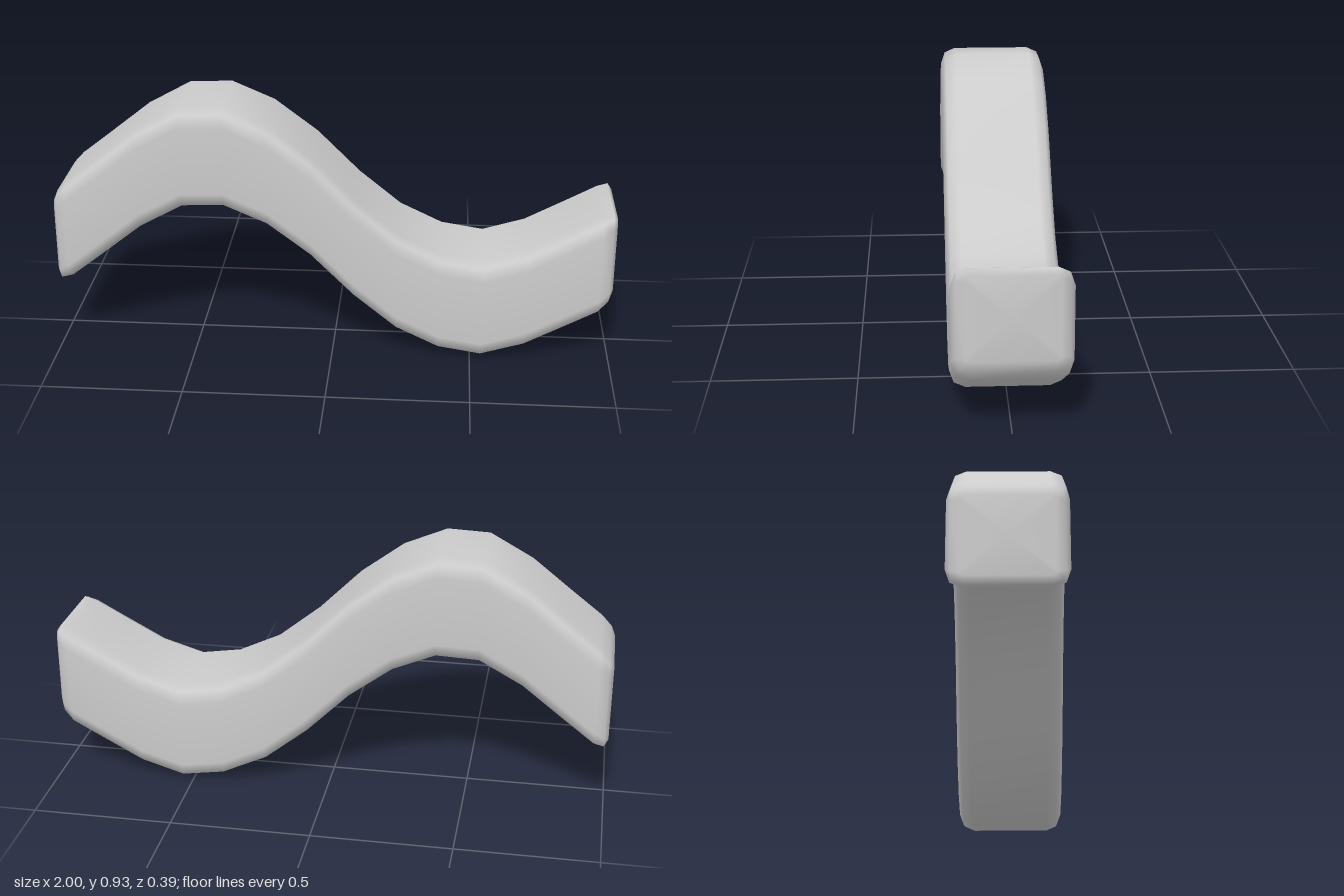
import * as THREE from 'three';

// Spine of the wave: [x, centre height, edge inset]
const SPINE = [
  [-1, 0.42, 0.045], [-0.985, 0.425, 0.014], [-0.95, 0.449, 0],
  [-0.846, 0.53, 0], [-0.692, 0.652, 0], [-0.538, 0.737, 0], [-0.385, 0.743, 0],
  [-0.231, 0.677, 0], [-0.077, 0.561, 0], [0.077, 0.407, 0], [0.231, 0.282, 0],
  [0.385, 0.209, 0], [0.538, 0.185, 0], [0.692, 0.232, 0], [0.846, 0.315, 0],
  [0.95, 0.372, 0], [0.985, 0.398, 0.014], [1, 0.408, 0.045],
];
const HALF_HEIGHT = 0.185;
const HALF_DEPTH = 0.193;

// Rectangle section with two-step bevelled corners, as [z, y] pairs
function section(inset) {
  const d = HALF_DEPTH - inset, h = HALF_HEIGHT - inset;
  const s = 1 - inset / 0.06; // bevels shrink towards the end faces
  const corner = [[d, h - 0.062 * s], [d - 0.015 * s, h - 0.017 * s], [d - 0.053 * s, h]];
  const back = corner.map(([z, y]) => [-z, y]);
  const upper = [...back, ...corner.slice().reverse()];
  return [...upper, ...upper.map(([z, y]) => [-z, -y])];
}

function waveGeometry() {
  const positions = [], index = [];
  const n = 12, last = SPINE.length - 1;
  for (const [x, y0, inset] of SPINE) {
    for (const [z, y] of section(inset)) positions.push(x, y0 + y, z);
  }
  // Skin between neighbouring sections
  for (let i = 0; i < last; i++) {
    for (let j = 0; j < n; j++) {
      const k = (j + 1) % n;
      const a = i * n + j, b = a + n, c = (i + 1) * n + k, d = i * n + k;
      index.push(a, d, c, a, c, b);
    }
  }
  // End faces
  for (const i of [0, last]) {
    const centre = positions.length / 3;
    positions.push(SPINE[i][0], SPINE[i][1], 0);
    for (let j = 0; j < n; j++) {
      const a = i * n + j, b = i * n + (j + 1) % n;
      if (i === last) index.push(centre, a, b);
      else index.push(centre, b, a);
    }
  }
  const geometry = new THREE.BufferGeometry();
  geometry.setAttribute('position', new THREE.Float32BufferAttribute(positions, 3));
  geometry.setIndex(index);
  geometry.computeVertexNormals();
  return geometry;
}

export function createModel() {
  const group = new THREE.Group();
  group.name = 'wave';
  const bar = new THREE.Mesh(waveGeometry(), new THREE.MeshStandardMaterial({ color: 0xcccccc }));
  bar.name = 'wavyBar';
  group.add(bar);
  return group;
}
